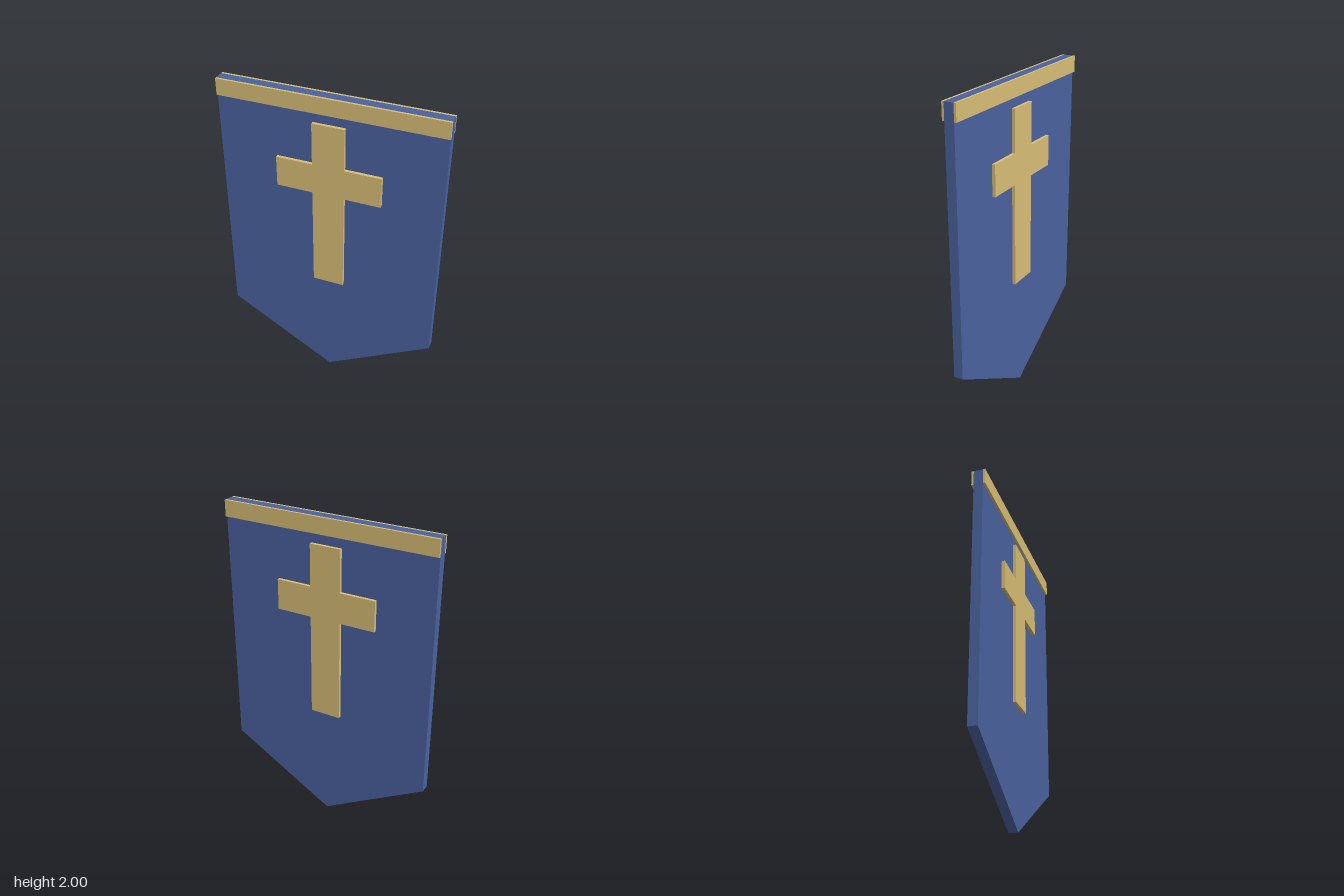
import * as THREE from 'three';

const BLUE = new THREE.MeshStandardMaterial({ color: 0x4a629f, flatShading: true });
const GOLD = new THREE.MeshStandardMaterial({ color: 0xd9be75, flatShading: true });

const CLOTH_HALF = 0.029; // half thickness of the cloth
const TRIM_DEPTH = 0.014;
const CROSS_DEPTH = 0.02;

// Extrudes an outline along z, centred on z = 0
function slab(name, points, depth, material) {
  const shape = new THREE.Shape(points.map(([x, y]) => new THREE.Vector2(x, y)));
  const geometry = new THREE.ExtrudeGeometry(shape, { depth, bevelEnabled: false });
  geometry.translate(0, 0, -depth / 2);
  const mesh = new THREE.Mesh(geometry, material);
  mesh.name = name;
  return mesh;
}

export function createModel() {
  const banner = new THREE.Group();
  banner.name = 'banner';

  // Cloth with a pointed lower end
  const w = 0.675;
  banner.add(slab('cloth', [[0, 0], [w, 0.39], [w, 2], [-w, 2], [-w, 0.39]], CLOTH_HALF * 2, BLUE));

  // Right half of the cross, mirrored to complete the outline
  const half = [[0.097, 0.745], [0.097, 1.39], [0.32, 1.39], [0.32, 1.58], [0.097, 1.58], [0.097, 1.84]];
  const crossOutline = [...half, ...half.map(([x, y]) => [-x, y]).reverse()];
  const trimOutline = [[-w, 1.9], [w, 1.9], [w, 2], [-w, 2]];

  // Trim strip and cross on both faces
  for (const [side, sign] of [['front', 1], ['back', -1]]) {
    const trim = slab(side + 'Trim', trimOutline, TRIM_DEPTH, GOLD);
    trim.position.z = sign * (CLOTH_HALF + TRIM_DEPTH / 2);
    const cross = slab(side + 'Cross', crossOutline, CROSS_DEPTH, GOLD);
    cross.position.z = sign * (CLOTH_HALF + CROSS_DEPTH / 2);
    banner.add(trim, cross);
  }
  return banner;
}
